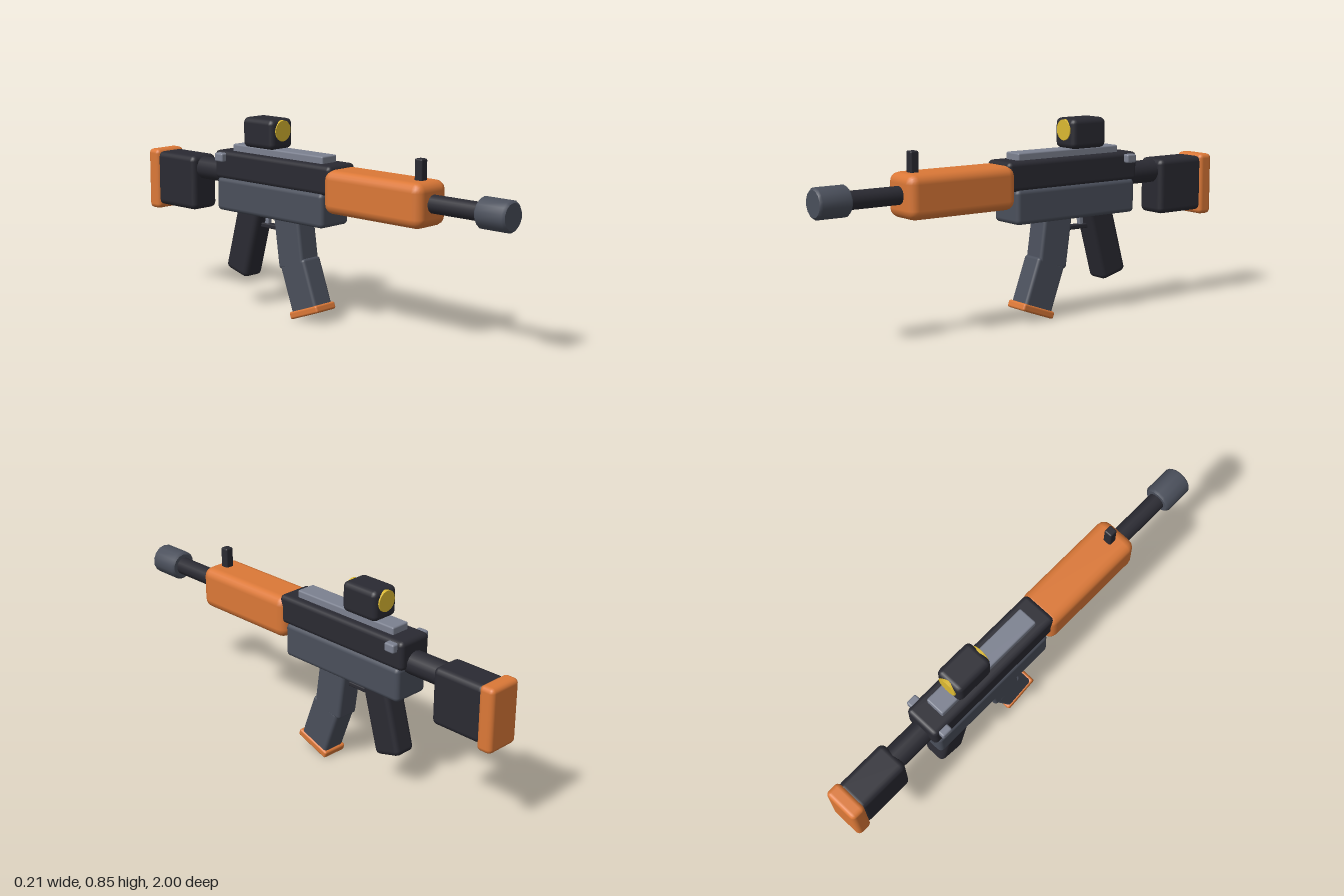
import * as THREE from 'three';
import { RoundedBoxGeometry } from 'three/addons/geometries/RoundedBoxGeometry.js';

const material = (name, color) => {
  const m = new THREE.MeshStandardMaterial({ color });
  m.name = name;
  return m;
};

export function createModel() {
  const model = new THREE.Group();
  model.name = 'toyRifle';

  const charcoal = material('charcoal', 0x2a2a32);
  const slate = material('slate', 0x4a4f5b);
  const steel = material('steel', 0x7c8190);
  const orange = material('orange', 0xdb7837);
  const yellow = material('yellow', 0xdcb932);

  const add = (name, geometry, mat, x, y, z, tilt = 0) => {
    const mesh = new THREE.Mesh(geometry, mat);
    mesh.name = name;
    mesh.position.set(x, y, z);
    mesh.rotation.x = tilt;
    model.add(mesh);
    return mesh;
  };

  // Soft-edged block centred on x = 0, tilted about x
  const block = (name, mat, [w, h, d], y, z, bevel, tilt = 0) =>
    add(name, new RoundedBoxGeometry(w, h, d, 2, bevel), mat, 0, y, z, tilt);

  // Rod along z from z0 to z1 with chamfered rims
  const rod = (name, mat, radius, y, z0, z1, chamfer, sides = 14) => {
    const half = (z1 - z0) / 2;
    const flat = radius - chamfer;
    // repeated points keep the end caps flat
    const profile = [
      [0, -half], [flat, -half], [flat, -half], [radius, -half + chamfer],
      [radius, half - chamfer], [flat, half], [flat, half], [0, half],
    ].map(([r, l]) => new THREE.Vector2(r, l));
    const geometry = new THREE.LatheGeometry(profile, sides);
    geometry.rotateX(Math.PI / 2);
    return add(name, geometry, mat, 0, y, (z0 + z1) / 2);
  };

  // Barrel and muzzle
  rod('muzzle', slate, 0.064, 0.592, 0.857, 1.0, 0.01);
  rod('barrel', charcoal, 0.038, 0.592, 0.55, 0.87, 0.003);

  // Handguard and front sight
  block('handguard', orange, [0.184, 0.184, 0.515], 0.587, 0.363, 0.04);
  block('frontSight', charcoal, [0.038, 0.105, 0.038], 0.712, 0.554, 0.007);

  // Receiver
  block('upperReceiver', charcoal, [0.16, 0.125, 0.69], 0.63, -0.205, 0.02);
  block('lowerReceiver', slate, [0.168, 0.148, 0.635], 0.502, -0.217, 0.02);
  block('topRail', steel, [0.088, 0.042, 0.535], 0.702, -0.201, 0.007);
  block('chargingHandle', steel, [0.208, 0.038, 0.05], 0.666, -0.5, 0.008);

  // Sight body with a lens at each end
  block('scope', charcoal, [0.13, 0.13, 0.183], 0.785, -0.297, 0.024);
  rod('scopeLens', yellow, 0.045, 0.8, -0.394, -0.202, 0.001, 24);

  // Stock
  rod('stockTube', charcoal, 0.051, 0.588, -0.76, -0.5, 0.003);
  block('stock', charcoal, [0.142, 0.245, 0.25], 0.521, -0.823, 0.025);
  block('buttPad', orange, [0.158, 0.274, 0.07], 0.515, -0.965, 0.02);

  // Grip, trigger and guard
  block('grip', charcoal, [0.104, 0.33, 0.132], 0.31, -0.411, 0.022, 0.27);
  block('triggerGuard', charcoal, [0.034, 0.02, 0.16], 0.379, -0.265, 0.005);
  block('trigger', steel, [0.022, 0.06, 0.022], 0.413, -0.295, 0.005, 0.1);

  // Bent magazine
  block('magazineUpper', slate, [0.106, 0.25, 0.146], 0.345, -0.128, 0.014, -0.14);
  block('magazineLower', slate, [0.106, 0.22, 0.148], 0.149, -0.069, 0.014, -0.35);
  block('magazineBase', orange, [0.118, 0.032, 0.17], 0.046, -0.032, 0.009, -0.35);

  return model;
}
